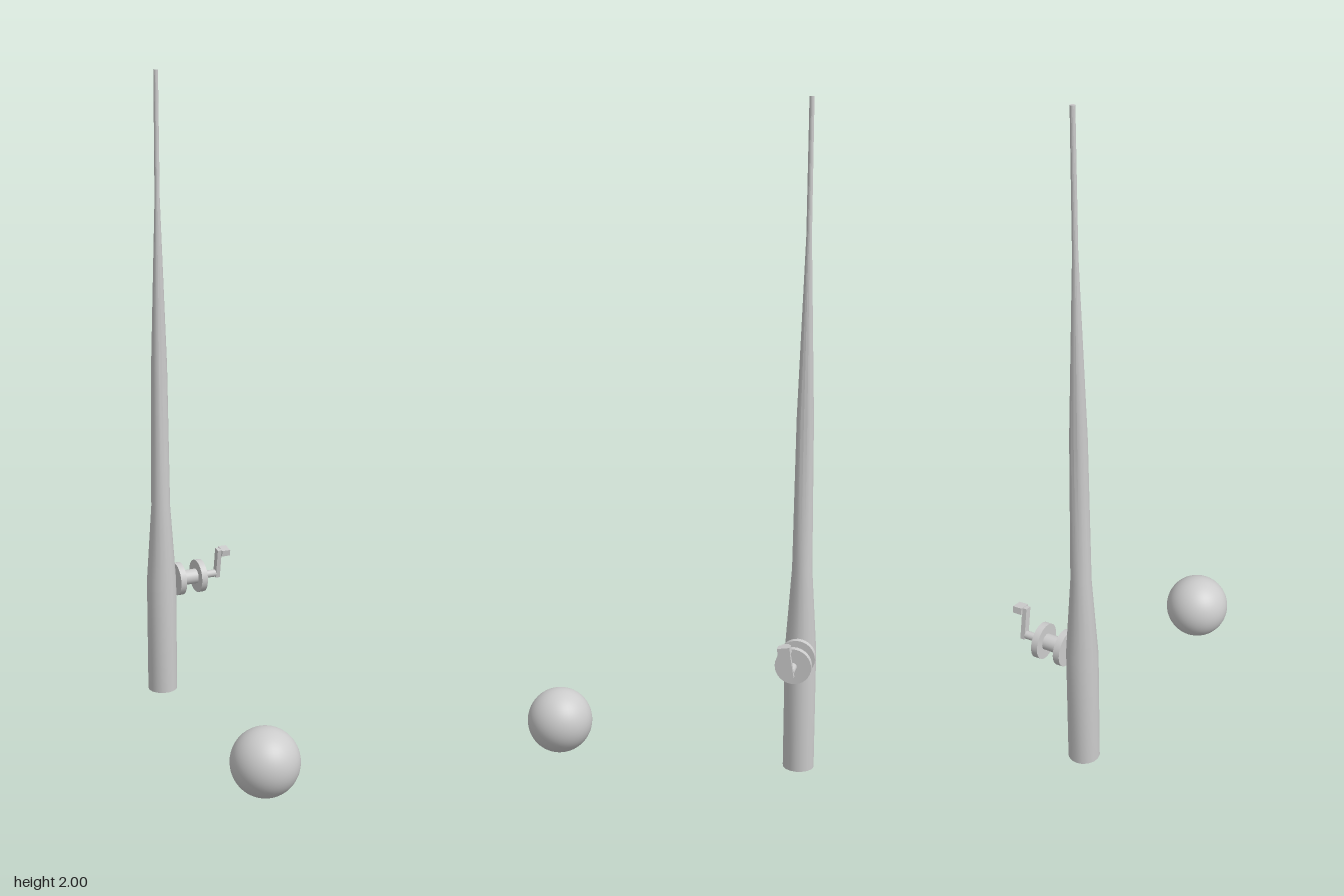
import * as THREE from 'three';
import { toCreasedNormals } from 'three/addons/utils/BufferGeometryUtils.js';

const material = new THREE.MeshStandardMaterial({ color: 0xcccccc });

function part(parent, name, geometry, x = 0, y = 0, z = 0) {
  const mesh = new THREE.Mesh(geometry, material);
  mesh.name = name;
  mesh.position.set(x, y, z);
  parent.add(mesh);
  return mesh;
}

// Cylinder lying along x between two x positions
function xCylinder(radius, x0, x1, sides = 24) {
  return new THREE.CylinderGeometry(radius, radius, x1 - x0, sides)
    .rotateZ(-Math.PI / 2)
    .translate((x0 + x1) / 2, 0, 0);
}

export function createModel() {
  const model = new THREE.Group();
  model.name = 'fishingRodAndBall';

  // Tapered rod: thick grip, swelling shoulder, slim tip
  const profile = [
    [0, 0.03], [0.047, 0.03], [0.047, 0.4], [0.03, 0.65],
    [0.025, 1.1], [0.008, 1.62], [0.007, 2], [0, 2],
  ].map(([r, y]) => new THREE.Vector2(r, y));
  const rod = toCreasedNormals(new THREE.LatheGeometry(profile, 16), Math.PI / 5);
  part(model, 'rod', rod, -0.065, 0, -0.402);

  // Reel mounted on the left side of the rod
  const reel = new THREE.Group();
  reel.name = 'reel';
  reel.position.set(0, 0.397, -0.402);
  model.add(reel);
  part(reel, 'innerFlange', xCylinder(0.053, -0.018, 0.002, 32));
  part(reel, 'outerFlange', xCylinder(0.053, 0.055, 0.075, 32));
  part(reel, 'spoolHub', xCylinder(0.024, 0, 0.057));
  part(reel, 'axle', xCylinder(0.012, 0.073, 0.125, 16));

  // Crank tilted slightly forward, with a grip at its end
  const crank = new THREE.Group();
  crank.name = 'crank';
  crank.rotation.x = 0.17;
  reel.add(crank);
  part(crank, 'crankArm', new THREE.BoxGeometry(0.014, 0.098, 0.022), 0.13, 0.037, 0);
  part(crank, 'crankGrip', new THREE.BoxGeometry(0.028, 0.02, 0.036), 0.15, 0.077, 0);

  // Ball on the ground in front
  part(model, 'ball', new THREE.SphereGeometry(0.101, 40, 28), -0.064, 0.101, 0.352);

  return model;
}
